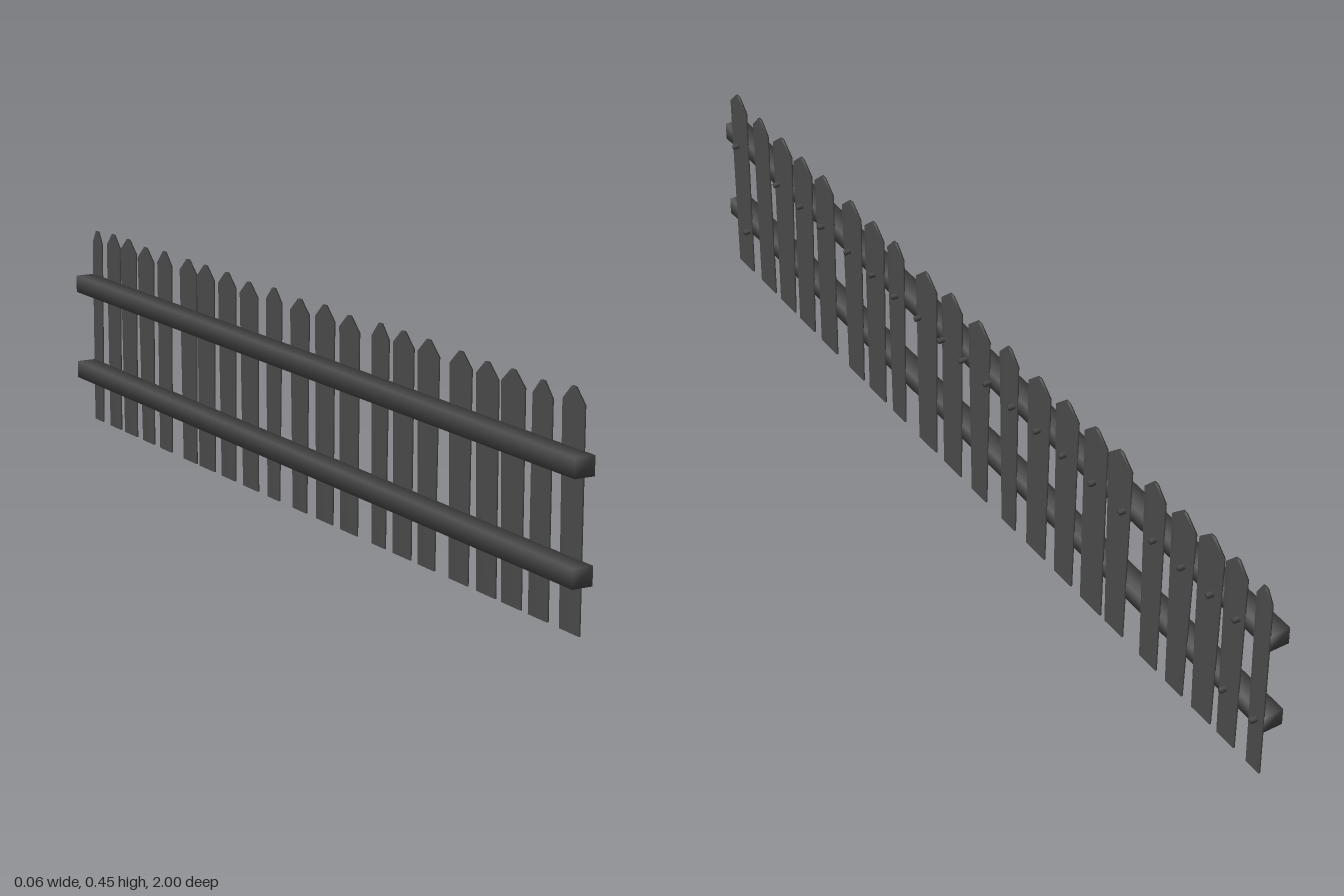
import * as THREE from 'three';
import { mergeVertices } from 'three/addons/utils/BufferGeometryUtils.js';

const wood = new THREE.MeshStandardMaterial({ color: 0x484848 });
wood.name = 'dark grey';

// Shares corners so the shading runs softly across edges
function soften(geometry) {
  geometry.deleteAttribute('uv');
  geometry.deleteAttribute('normal');
  const merged = mergeVertices(geometry, 1e-5);
  merged.computeVertexNormals();
  return merged;
}

function add(group, geometry, name) {
  const mesh = new THREE.Mesh(geometry, wood);
  mesh.name = name;
  group.add(mesh);
  return mesh;
}

// Pointed picket, a little narrower at the foot; edges run along -z
function picketGeometry([topA, topB, footA, footB, height]) {
  const shoulder = height - 0.028;
  const mid = (topA + topB) / 2;
  const shape = new THREE.Shape([
    [footA, 0], [footB, 0], [topB, shoulder],
    [mid + 0.006, height], [mid - 0.006, height], [topA, shoulder],
  ].map(([u, v]) => new THREE.Vector2(u, v)));
  const g = new THREE.ExtrudeGeometry(shape, { depth: 0.004, bevelEnabled: false });
  g.rotateY(Math.PI / 2);
  g.translate(0.0125, 0, 0);
  return soften(g);
}

// top edges, foot edges, height
const pickets = [
  [-0.965, -0.897, -0.962, -0.9, 0.451], [-0.865, -0.803, -0.862, -0.8, 0.443],
  [-0.777, -0.7, -0.775, -0.712, 0.445], [-0.69, -0.616, -0.69, -0.627, 0.443],
  [-0.6, -0.526, -0.595, -0.53, 0.446], [-0.487, -0.413, -0.477, -0.418, 0.448],
  [-0.396, -0.322, -0.391, -0.327, 0.448], [-0.305, -0.243, -0.295, -0.246, 0.448],
  [-0.193, -0.118, -0.188, -0.123, 0.443], [-0.096, -0.022, -0.091, -0.027, 0.448],
  [0.005, 0.08, 0.016, 0.07, 0.443], [0.118, 0.182, 0.129, 0.177, 0.448],
  [0.22, 0.295, 0.22, 0.284, 0.443], [0.316, 0.391, 0.321, 0.38, 0.448],
  [0.413, 0.487, 0.413, 0.482, 0.448], [0.493, 0.568, 0.498, 0.557, 0.448],
  [0.61, 0.675, 0.616, 0.67, 0.448], [0.697, 0.771, 0.702, 0.755, 0.443],
  [0.782, 0.857, 0.787, 0.846, 0.448], [0.863, 0.927, 0.868, 0.921, 0.448],
  [0.955, 1.0, 0.96, 1.0, 0.443],
];

const upperNails = [0.94, 0.76, 0.66, 0.57, 0.46, 0.36, 0.27, 0.18, 0.09, 0.01, -0.08,
  -0.17, -0.26, -0.35, -0.45, -0.55, -0.65, -0.74, -0.83, -0.91];
const lowerNails = [[0.105, 0.91], [0.124, -0.885], [0.124, -0.98]];

export function createModel() {
  const fence = new THREE.Group();
  fence.name = 'picketFence';

  // Two long rails behind the pickets
  for (const [name, y] of [['lowerRail', 0.122], ['upperRail', 0.322]]) {
    const rail = add(fence, soften(new THREE.BoxGeometry(0.0435, 0.038, 2)), name);
    rail.position.set(-0.00825, y, 0);
  }

  pickets.forEach((p) => add(fence, picketGeometry(p), 'picket'));

  // Round nails through pickets and rails
  const nail = soften(new THREE.CylinderGeometry(0.006, 0.006, 0.022, 8).rotateZ(-Math.PI / 2));
  const nails = upperNails.map((z) => [0.317, z]).concat(lowerNails);
  for (const [y, z] of nails) add(fence, nail, 'nail').position.set(0.0175, y, z);

  return fence;
}
